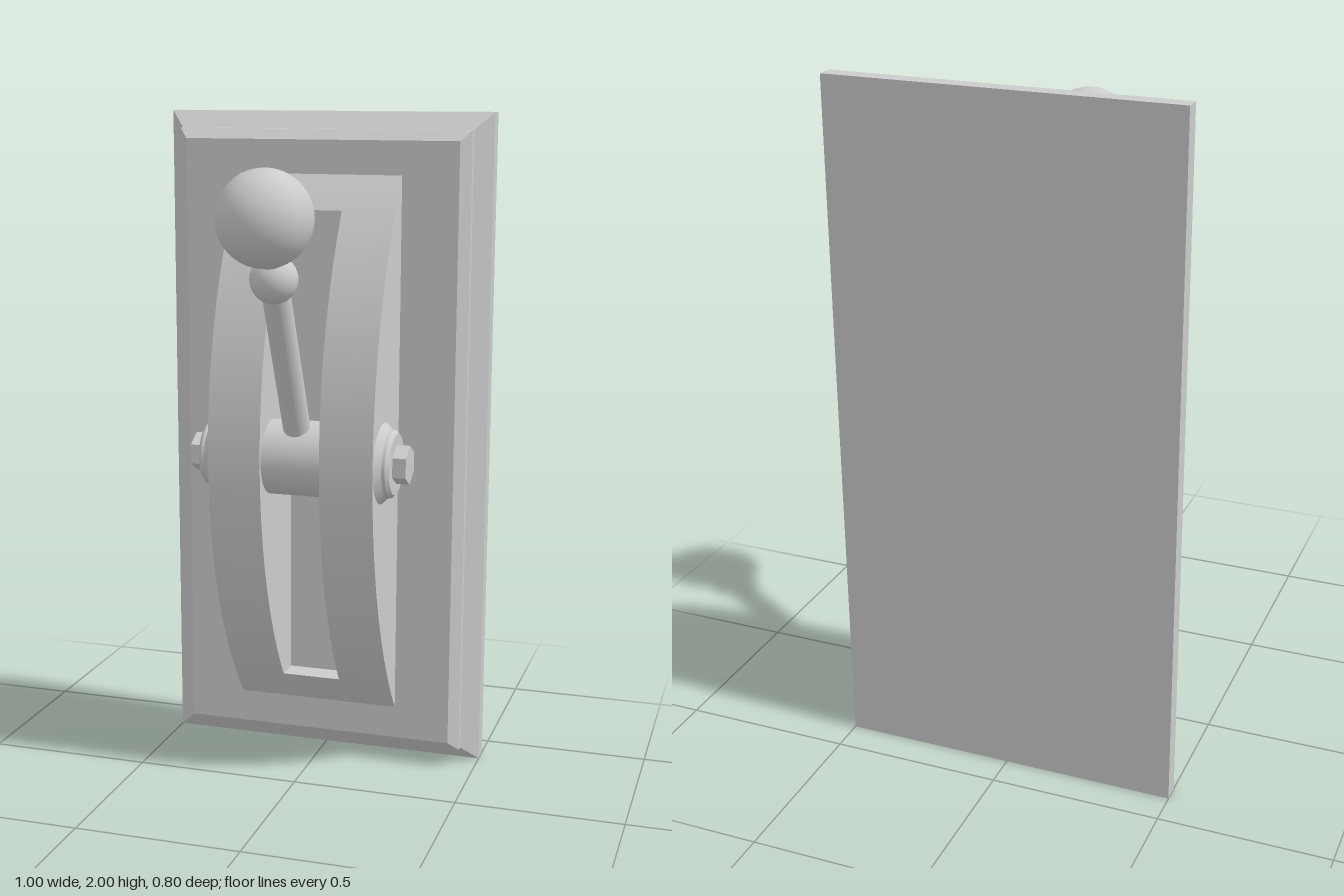
import * as THREE from 'three';
import { toCreasedNormals } from 'three/addons/utils/BufferGeometryUtils.js';

const PIVOT = new THREE.Vector3(0, 1, -0.07);
const PLATE_FRONT = -0.25;

export function createModel() {
  const model = new THREE.Group();
  const material = new THREE.MeshStandardMaterial({ color: 0xcccccc });

  function add(parent, name, geometry, position) {
    const mesh = new THREE.Mesh(geometry, material);
    mesh.name = name;
    if (position) mesh.position.copy(position);
    parent.add(mesh);
    return mesh;
  }

  // Slab from z0 to z1 whose front edges are pulled in by inset
  function slab(halfX, halfY, z0, z1, inset) {
    const g = new THREE.BoxGeometry(halfX * 2, halfY * 2, z1 - z0).toNonIndexed();
    const p = g.attributes.position;
    for (let i = 0; i < p.count; i++) {
      if (p.getZ(i) > 0) {
        p.setX(i, p.getX(i) - Math.sign(p.getX(i)) * inset);
        p.setY(i, p.getY(i) - Math.sign(p.getY(i)) * inset);
      }
    }
    g.computeVertexNormals();
    return g.translate(0, 1, (z0 + z1) / 2);
  }

  // Piece of the bowed housing between two heights, extruded across x
  function bowPiece(y0, y1, width, steps) {
    const radius = 1.27, centreZ = 0.05 - radius;
    const shape = new THREE.Shape();
    shape.moveTo(PLATE_FRONT - 0.01, y0);
    for (let i = 0; i <= steps; i++) {
      const y = y0 + (y1 - y0) * i / steps;
      shape.lineTo(centreZ + Math.sqrt(radius ** 2 - (y - 1) ** 2), y);
    }
    shape.lineTo(PLATE_FRONT - 0.01, y1);
    const g = new THREE.ExtrudeGeometry(shape, { depth: width, bevelEnabled: false });
    g.translate(0, 0, -width / 2).rotateY(-Math.PI / 2);
    return toCreasedNormals(g, 0.4);
  }

  // Stepped wall plate
  const plate = new THREE.Group();
  plate.name = 'wallPlate';
  add(plate, 'plateBase', slab(0.5, 1, -0.4, -0.35, 0));
  add(plate, 'plateLowerBevel', slab(0.5, 1, -0.35, -0.3, 0.05));
  add(plate, 'plateStep', slab(0.45, 0.95, -0.3, -0.28, 0));
  add(plate, 'plateUpperBevel', slab(0.45, 0.95, -0.28, PLATE_FRONT, 0.03));
  model.add(plate);

  // Bowed housing: two cheeks joined by blocks at the slot ends
  const housing = new THREE.Group();
  housing.name = 'housing';
  for (const [side, s] of [['left', 1], ['right', -1]]) {
    add(housing, side + 'Cheek', bowPiece(0.18, 1.82, 0.16, 48), new THREE.Vector3(s * 0.17, 0, 0));
  }
  add(housing, 'lowerSlotEnd', bowPiece(0.18, 0.28, 0.18, 4));
  add(housing, 'upperSlotEnd', bowPiece(1.72, 1.82, 0.18, 4));
  model.add(housing);

  // Axle with stepped end caps and hex bolts
  const axle = new THREE.Group();
  axle.name = 'axle';
  axle.position.copy(PIVOT);
  add(axle, 'axleBarrel', new THREE.CylinderGeometry(0.112, 0.112, 0.2, 48).rotateZ(Math.PI / 2));
  const capProfile = [[0.12, 0.245], [0.12, 0.25], [0.1, 0.27], [0.1, 0.28], [0.09, 0.29], [0, 0.29]]
    .map(([r, y]) => new THREE.Vector2(r, y));
  for (const [side, s] of [['left', 1], ['right', -1]]) {
    const cap = toCreasedNormals(new THREE.LatheGeometry(capProfile, 48), 0.4);
    add(axle, side + 'Cap', cap.rotateZ(-s * Math.PI / 2));
    const bolt = new THREE.CylinderGeometry(0.058, 0.058, 0.05, 6).rotateY(Math.PI / 2);
    bolt.translate(0, 0.305, 0).rotateZ(-s * Math.PI / 2);
    // flat facets, with two corners pointing up and down
    add(axle, side + 'HexBolt', toCreasedNormals(bolt.rotateX(0), 0.4));
  }
  model.add(axle);

  // Lever tilted towards the front
  const lever = new THREE.Group();
  lever.name = 'lever';
  lever.position.copy(PIVOT);
  lever.rotation.x = Math.atan2(0.335, 0.73);
  add(lever, 'leverRod', new THREE.CylinderGeometry(0.04, 0.04, 0.74, 32).translate(0, 0.37, 0));
  add(lever, 'leverCollarBall', new THREE.SphereGeometry(0.068, 32, 20).translate(0, 0.613, 0));
  add(lever, 'leverKnob', new THREE.SphereGeometry(0.135, 48, 32).translate(0, 0.803, 0));
  model.add(lever);

  return model;
}
